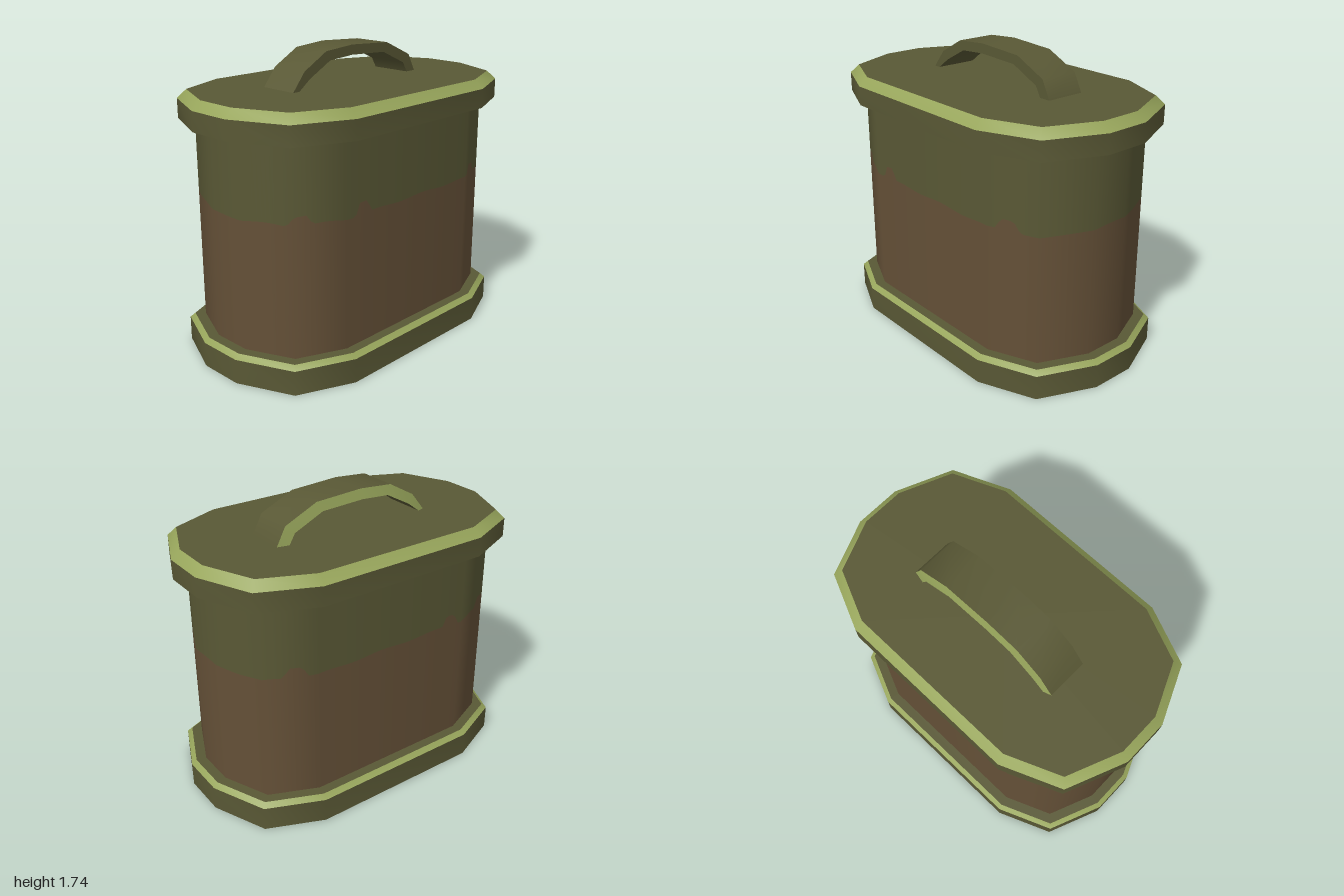
import * as THREE from 'three';

const material = (name, color) => {
  const m = new THREE.MeshStandardMaterial({ color });
  m.name = name;
  return m;
};

// Twelve-sided outline: half is listed, the rest is the half turned round the y axis
const half = [[1.0, 0.08], [0.88, 0.415], [0.56, 0.57], [-0.50, 0.627], [-0.83, 0.505], [-0.985, 0.19]];
const outline = [...half, ...half.map(([x, z]) => [-x, -z])].map(([x, z]) => new THREE.Vector2(x, z));
const N = outline.length;

// Outward normal of the edge starting at point i (its length is the edge length)
const edgeNormal = (i) => {
  const a = outline[(i + N) % N], b = outline[(i + 1 + N) % N];
  return new THREE.Vector2(b.y - a.y, a.x - b.x);
};

// Outline moved inwards by d, at height y
function ring(d, y) {
  return outline.map((p, i) => {
    const n1 = edgeNormal(i - 1).normalize(), n2 = edgeNormal(i).normalize();
    const miter = n1.clone().add(n2).divideScalar(1 + n1.dot(n2));
    return new THREE.Vector3(p.x - miter.x * d, y, p.y - miter.y * d);
  });
}

// Surface between two point rows, smooth along its length
function strip(a, b, closed = true, normals = null) {
  const n = a.length, index = [];
  for (let i = 0; i < (closed ? n : n - 1); i++) {
    const j = (i + 1) % n;
    index.push(i, n + i, n + j, i, n + j, j);
  }
  const g = new THREE.BufferGeometry();
  const flat = (list) => list.flatMap((v) => [v.x, v.y, v.z]);
  g.setAttribute('position', new THREE.Float32BufferAttribute(flat([...a, ...b]), 3));
  g.setIndex(index);
  if (normals) g.setAttribute('normal', new THREE.Float32BufferAttribute(flat([...normals, ...normals]), 3));
  else g.computeVertexNormals();
  return g;
}

export function createModel() {
  const green = material('olive green', 0x595835);
  const edge = material('worn light green', 0x97a55b);
  const brown = material('rust brown', 0x645037);

  const model = new THREE.Group();
  model.name = 'canister';
  const group = (name) => {
    const g = new THREE.Group();
    g.name = name;
    model.add(g);
    return g;
  };
  const add = (parent, name, geometry, mat) => {
    const mesh = new THREE.Mesh(geometry, mat);
    mesh.name = name;
    parent.add(mesh);
  };
  const centre = (y) => outline.map(() => new THREE.Vector3(0, y, 0));
  const INSET = 0.086;

  // Base plinth
  const base = group('base');
  add(base, 'baseSide', strip(ring(0, 0), ring(0, 0.143)), green);
  add(base, 'baseBevel', strip(ring(0, 0.143), ring(0.028, 0.168)), edge);
  add(base, 'baseTop', strip(ring(0.028, 0.168), ring(INSET, 0.168)), green);
  add(base, 'baseUnderside', strip(centre(0), ring(0, 0)), brown);

  // Body wall, sampled finely so the rust line can be ragged
  const corners = ring(INSET, 0), points = [], normals = [];
  const cornerNormal = (i) => {
    const n = edgeNormal(i - 1).add(edgeNormal(i)).normalize();
    return new THREE.Vector3(n.x, 0, n.y);
  };
  for (let i = 0; i < N; i++) {
    const a = corners[i], b = corners[(i + 1) % N];
    const steps = Math.ceil(a.distanceTo(b) / 0.025);
    for (let k = 0; k < steps; k++) {
      points.push(a.clone().lerp(b, k / steps));
      normals.push(cornerNormal(i).lerp(cornerNormal(i + 1), k / steps).normalize());
    }
  }
  // Rust bumps: x, z, half width, height
  const bumps = [
    [-0.73, 0.45, 0.07, 0.055], [-0.36, 0.53, 0.06, 0.07], [0.65, 0.44, 0.075, 0.06],
    [0.60, -0.50, 0.07, 0.06], [-0.45, -0.49, 0.06, 0.065], [-0.78, -0.38, 0.07, 0.055],
  ];
  const rustHeight = (p) => {
    let y = 0.922 + 0.005 * Math.sin(p.x * 17 + p.z * 11);
    for (const [x, z, w, h] of bumps) {
      const t = 1 - Math.hypot(p.x - x, p.z - z) / w;
      y += h * Math.min(1, Math.max(0, t * 2));
    }
    return y;
  };
  const level = (y) => points.map((p) => new THREE.Vector3(p.x, y, p.z));
  const rustLine = points.map((p) => new THREE.Vector3(p.x, rustHeight(p), p.z));
  const body = group('body');
  add(body, 'rustyLowerWall', strip(level(0.168), rustLine, true, normals), brown);
  add(body, 'upperWall', strip(rustLine, level(1.362), true, normals), green);

  // Lid
  const lid = group('lid');
  add(lid, 'lidUnderside', strip(ring(INSET, 1.362), ring(0, 1.362)), green);
  add(lid, 'lidSide', strip(ring(0, 1.362), ring(0, 1.475)), green);
  add(lid, 'lidBevel', strip(ring(0, 1.475), ring(0.05, 1.525)), edge);
  add(lid, 'lidTop', strip(ring(0.05, 1.525), centre(1.525)), green);

  // Arched handle, slightly skewed across the lid, with a sloping back edge
  const outer = [[-0.485, 1.525], [-0.40, 1.63], [-0.235, 1.722], [-0.03, 1.738], [0.265, 1.722], [0.465, 1.63], [0.52, 1.525]];
  const inner = [[-0.44, 1.525], [-0.36, 1.585], [-0.205, 1.668], [-0.03, 1.68], [0.235, 1.668], [0.415, 1.585], [0.45, 1.525]];
  const row = (profile, z) => profile.map(([x, y]) => new THREE.Vector3(x + 0.05 * z, y, z - 0.05 * x));
  const outFront = row(outer, 0.085), outBack = row(outer, -0.155);
  const inFront = row(inner, 0.085), inBack = row(inner, -0.17);
  const handle = group('handle');
  add(handle, 'handleTop', strip(outBack, outFront, false), green);
  add(handle, 'handleFront', strip(outFront, inFront, false), green);
  add(handle, 'handleInside', strip(inFront, inBack, false), green);
  add(handle, 'handleBackEdge', strip(inBack, outBack, false), edge);
  return model;
}
